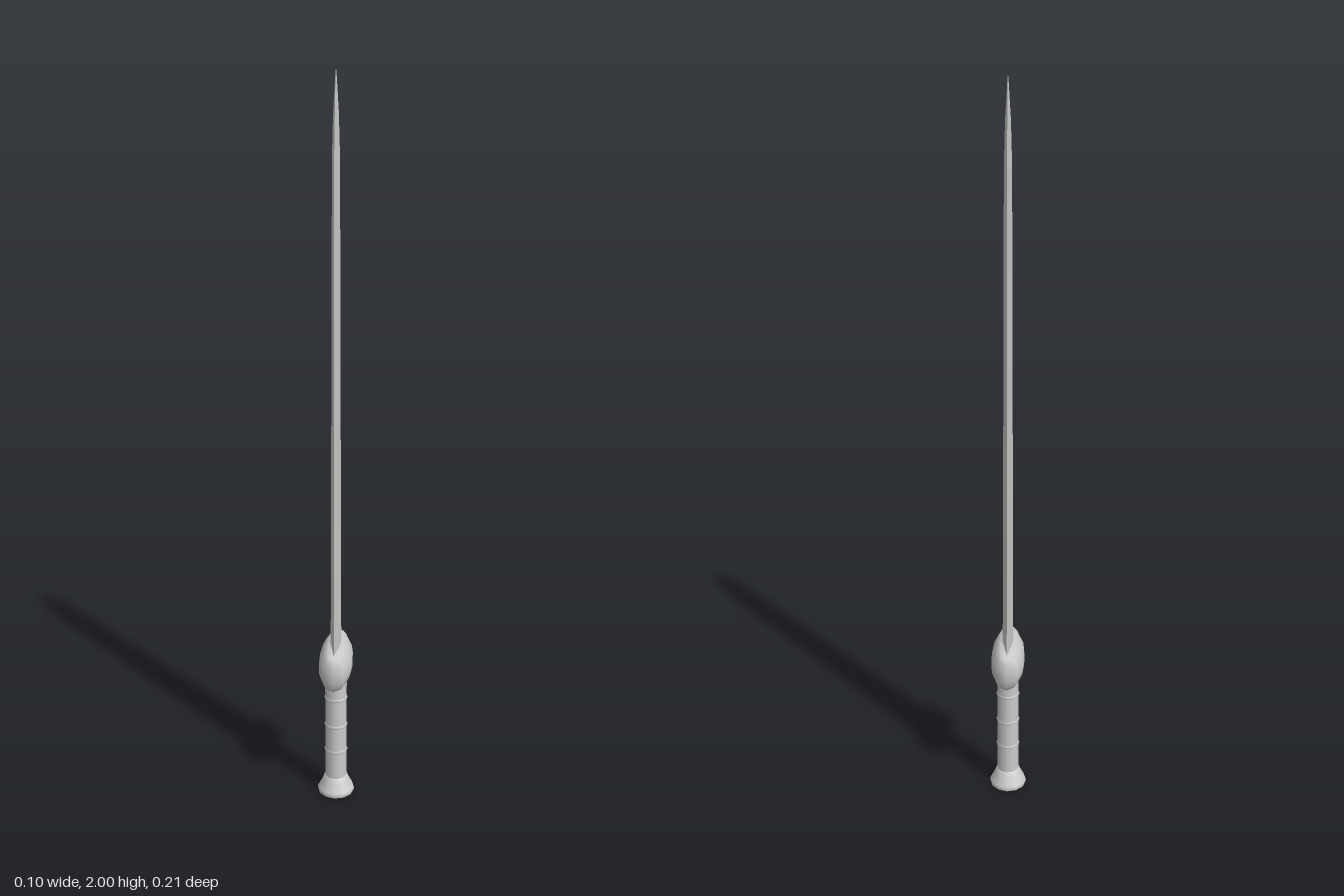
import * as THREE from 'three';

const material = (flatShading = false) => new THREE.MeshStandardMaterial({ color: 0xcccccc, flatShading });

// Skins closed rings of equal length (bottom to top, anticlockwise from above), with capped ends.
function loft(rings) {
  const n = rings[0].length, positions = [], index = [];
  const centre = (ring) => ring.reduce((s, p) => s.map((v, k) => v + p[k] / n), [0, 0, 0]);
  rings.forEach((ring) => ring.forEach((p) => positions.push(...p)));
  for (let r = 0; r < rings.length - 1; r++) {
    for (let i = 0; i < n; i++) {
      const a = r * n + i, b = r * n + (i + 1) % n;
      index.push(a, b, a + n, b, b + n, a + n);
    }
  }
  const last = (rings.length - 1) * n, bottom = rings.length * n;
  positions.push(...centre(rings[0]), ...centre(rings[rings.length - 1]));
  for (let i = 0; i < n; i++) {
    const j = (i + 1) % n;
    index.push(bottom, j, i, bottom + 1, last + i, last + j);
  }
  const geometry = new THREE.BufferGeometry();
  geometry.setAttribute('position', new THREE.Float32BufferAttribute(positions, 3));
  geometry.setIndex(index);
  geometry.computeVertexNormals();
  return geometry;
}

// Diamond cross-section: height, half thickness, half width
const diamond = ([y, t, w]) => [[t, y, 0], [0, y, -w], [-t, y, 0], [0, y, w]];

function addPart(group, name, geometry, flat) {
  const mesh = new THREE.Mesh(geometry, material(flat));
  mesh.name = name;
  group.add(mesh);
}

// Turned part from radius and height pairs, bottom to top
const turned = (profile) => new THREE.LatheGeometry(profile.map(([r, y]) => new THREE.Vector2(r, y)), 12);

export function createModel() {
  const sword = new THREE.Group();
  sword.name = 'sword';

  // Blade tapering gently, then to a point
  addPart(sword, 'blade', loft([
    [0.42, 0.015, 0.073], [0.6, 0.014, 0.07], [1.2, 0.012, 0.063],
    [1.79, 0.01, 0.055], [1.9, 0.007, 0.034], [2, 0.001, 0.0005],
  ].map(diamond)), true);

  // Rounded guard: quarter outline mirrored to a full ring
  const quarter = [[0.046, 0], [0.043, 0.05], [0.03, 0.089], [0, 0.103]];
  const outline = [
    ...quarter.map(([x, z]) => [x, -z]),
    ...quarter.slice(0, 3).reverse().map(([x, z]) => [-x, -z]),
    ...quarter.slice(1).map(([x, z]) => [-x, z]),
    ...quarter.slice(1, 3).reverse().map(([x, z]) => [x, z]),
  ];
  // height, thickness scale, width scale, lift of the middle
  const guardSections = [
    [0.365, 0.6, 0.88, 0.008], [0.375, 0.82, 0.93, 0.003], [0.395, 0.98, 0.98, 0],
    [0.415, 1, 1, 0], [0.435, 0.94, 0.99, 0], [0.453, 0.72, 0.96, 0.003], [0.464, 0.42, 0.92, 0.006],
  ];
  addPart(sword, 'guard', loft(guardSections.map(([y, sx, sz, lift]) =>
    outline.map(([x, z]) => [x * sx, y + lift * (1 - Math.abs(z) / 0.103), z * sz]))));

  // Low collar rising to a ridge at the blade root
  addPart(sword, 'bladeCollar', loft([[0.455, 0.022, 0.076], [0.468, 0.019, 0.045], [0.482, 0.015, 0.008]].map(diamond)));

  // Grip with three shallow raised bands
  addPart(sword, 'grip', turned([[0.03, 0.04], [0.03, 0.38]]));
  for (const y of [0.135, 0.215, 0.3]) {
    addPart(sword, 'gripBand', turned([[0.029, y - 0.006], [0.033, y], [0.029, y + 0.006]]));
  }

  // Flared pommel with a flat base
  addPart(sword, 'pommel', turned([[0.05, 0], [0.052, 0.007], [0.05, 0.013], [0.038, 0.036], [0.034, 0.048], [0.029, 0.052]]));
  const base = new THREE.CircleGeometry(0.05, 12);
  base.rotateX(Math.PI / 2);
  addPart(sword, 'pommelBase', base);

  return sword;
}
